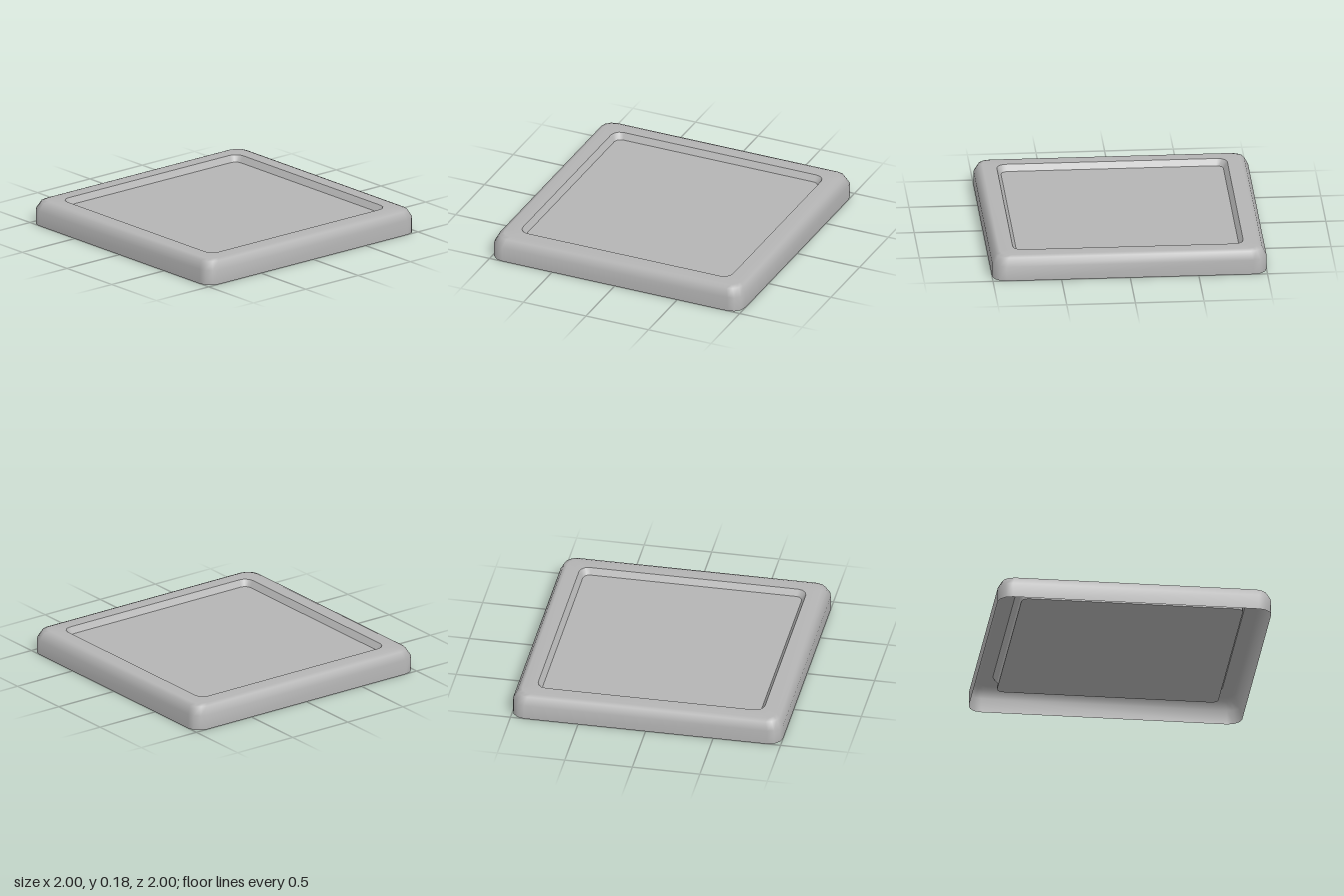
import * as THREE from 'three';

const CORNER_STEPS = 3;

// Corner-rounded square ring at height y, as a list of points
function ring([half, y, radius]) {
  const points = [];
  for (let corner = 0; corner < 4; corner++) {
    const mid = (corner + 0.5) * Math.PI / 2;
    const cx = Math.sign(Math.cos(mid)) * (half - radius);
    const cz = Math.sign(Math.sin(mid)) * (half - radius);
    for (let i = 0; i <= CORNER_STEPS; i++) {
      const a = (corner + i / CORNER_STEPS) * Math.PI / 2;
      points.push(cx + radius * Math.cos(a), y, cz + radius * Math.sin(a));
    }
  }
  return points;
}

// Smooth skin through a list of [half size, height, corner radius] rings
function loft(sections) {
  const n = 4 * (CORNER_STEPS + 1);
  const index = [];
  for (let s = 0; s < sections.length - 1; s++) {
    for (let i = 0; i < n; i++) {
      const a = s * n + i, b = s * n + (i + 1) % n;
      index.push(a, a + n, b, b, a + n, b + n);
    }
  }
  const geometry = new THREE.BufferGeometry();
  geometry.setAttribute('position', new THREE.Float32BufferAttribute(sections.flatMap(ring), 3));
  geometry.setIndex(index);
  geometry.computeVertexNormals();
  return geometry;
}

export function createModel() {
  const grey = new THREE.MeshStandardMaterial({ color: 0xb4b4b4, side: THREE.DoubleSide });
  grey.name = 'grey';
  const group = new THREE.Group();
  group.name = 'squareTray';

  const add = (name, sections) => {
    const mesh = new THREE.Mesh(loft(sections), grey);
    mesh.name = name;
    group.add(mesh);
  };

  // Outer wall rolling over into the flat rim, open underneath
  add('outerRim', [
    [1, 0, 0.1], [1, 0.11, 0.1], [0.97, 0.168, 0.09], [0.94, 0.18, 0.08], [0.84, 0.18, 0.07],
  ]);
  // Sloping wall of the shallow recess
  add('recessWall', [[0.84, 0.18, 0.07], [0.81, 0.135, 0.05]]);
  // Flat floor of the recess
  add('recessFloor', [[0.81, 0.135, 0.05], [0, 0.135, 0]]);
  // Thick panel under the floor
  add('panelSide', [[0.81, 0.08, 0.05], [0.81, 0.135, 0.05]]);
  add('panelUnderside', [[0, 0.08, 0], [0.81, 0.08, 0.05]]);

  return group;
}
